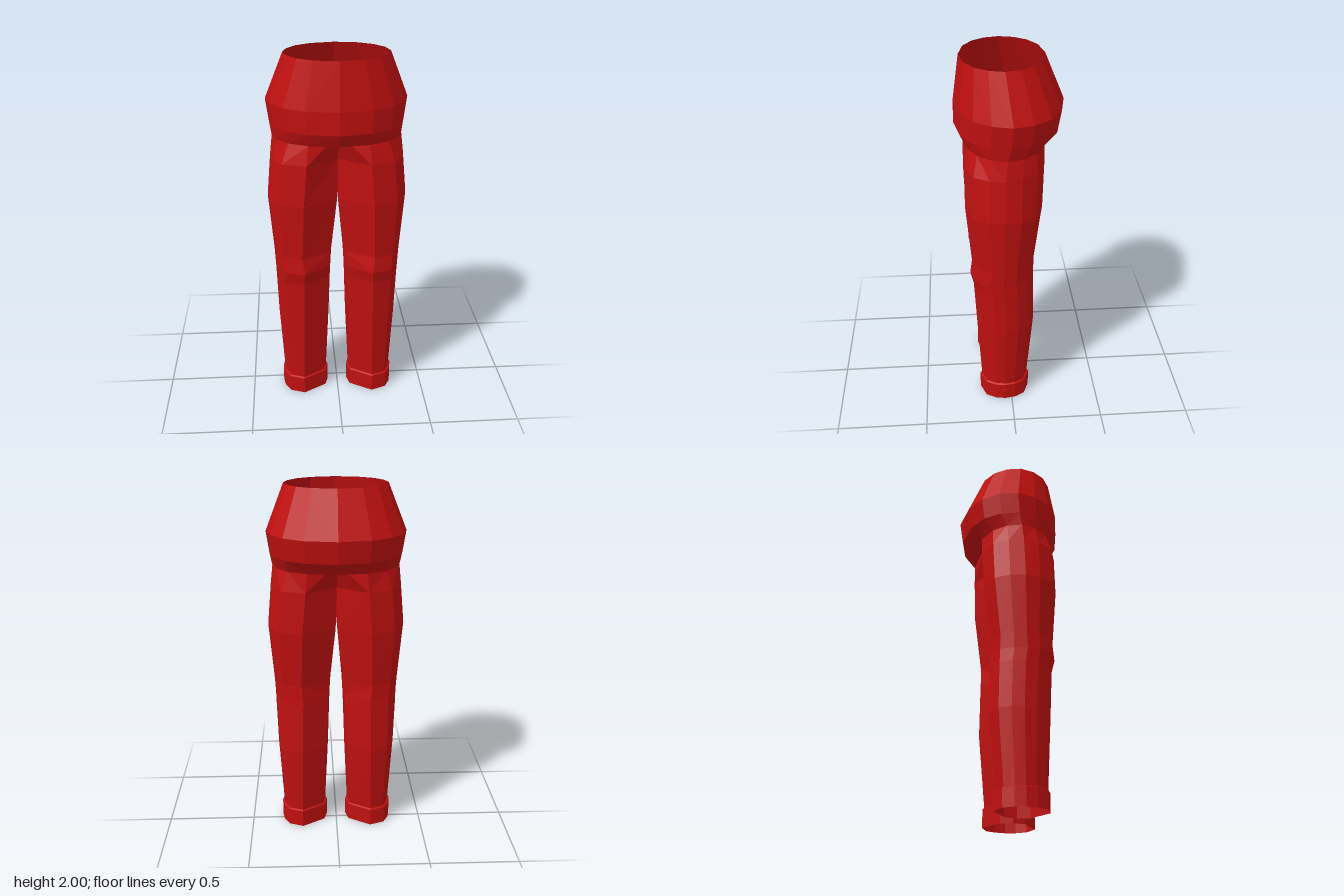
import * as THREE from 'three';

const red = new THREE.MeshStandardMaterial({ color: 0xc01010, flatShading: true, side: THREE.DoubleSide });
red.name = 'red cloth';

// Half an oval seen from above, from centre front round the side to centre back
const HALF = [[0, 1], [0.46, 0.89], [0.75, 0.67], [0.93, 0.36], [1, 0],
  [0.93, -0.36], [0.75, -0.67], [0.46, -0.89], [0, -1]];
// Outer side of a leg section, front to back
const OUTER = [[0, 1], [0.67, 0.78], [0.92, 0.4], [1, 0], [0.92, -0.4], [0.67, -0.78], [0, -1]];

function pelvisRing([y, w, front, back]) {
  const cz = (front + back) / 2, d = (front - back) / 2;
  return HALF.map(([u, v]) => [u * w, y, cz + v * d]);
}

// Ten points: seven on the outer side, three on the inseam
function legRing([y, inner, mid, outer, front, back], grow = 0) {
  const cz = (front + back) / 2, d = (front - back) / 2 + grow;
  const w = outer + grow - mid, n = inner - grow, soft = inner * 0.25;
  const ring = OUTER.map(([u, v]) => [mid + u * w, y, cz + v * d]);
  ring.push([n + soft, y, cz - 0.46 * d], [n, y, cz], [n + soft, y, cz + 0.46 * d]);
  return ring;
}

// Triangles between rings listed from top to bottom
function loft(rings, closed) {
  const tris = [];
  for (let r = 0; r < rings.length - 1; r++) {
    const a = rings[r], b = rings[r + 1], n = a.length;
    for (let i = 0; i < (closed ? n : n - 1); i++) {
      const j = (i + 1) % n;
      tris.push([a[i], b[i], b[j]], [a[i], b[j], a[j]]);
    }
  }
  return tris;
}

function addPart(parent, name, tris, side) {
  const pos = [];
  for (const t of tris) {
    for (const p of side > 0 ? t : [t[0], t[2], t[1]]) pos.push(p[0] * side, p[1], p[2]);
  }
  const geo = new THREE.BufferGeometry();
  geo.setAttribute('position', new THREE.Float32BufferAttribute(pos, 3));
  geo.computeVertexNormals();
  const mesh = new THREE.Mesh(geo, red);
  mesh.name = name;
  parent.add(mesh);
}

export function createModel() {
  const group = new THREE.Group();
  group.name = 'trousers';

  // height, half width, front z, back z
  const pelvis = [
    [2, 0.275, 0.25, -0.185],
    [1.755, 0.372, 0.285, -0.287],
    [1.635, 0.355, 0.285, -0.267],
    [1.565, 0.343, 0.248, -0.2],
  ].map(pelvisRing);

  // height, inseam x, crease x, outer x, front z, back z
  const legRows = [
    [1.46, 0, 0.167, 0.355, 0.24, -0.175],
    [1.23, 0.004, 0.186, 0.376, 0.24, -0.167],
    [0.91, 0.032, 0.197, 0.35, 0.212, -0.125],
    [0.82, 0.037, 0.187, 0.345, 0.223, -0.126],
    [0.75, 0.04, 0.19, 0.343, 0.205, -0.127],
    [0.5, 0.048, 0.195, 0.335, 0.192, -0.13],
    [0.105, 0.066, 0.2, 0.312, 0.17, -0.095],
  ];
  const leg = legRows.map(row => legRing(row));
  const hem = legRows[legRows.length - 1];
  const cuff = [
    legRing(hem),
    legRing([0.1, ...hem.slice(1)], 0.01),
    legRing([0, ...hem.slice(1)], 0.01),
  ];

  // Underside between the hip lip and the tops of the legs
  const lip = pelvis[pelvis.length - 1], top = leg[0];
  const front = [0, 1.62, 0.195], back = [0, 1.61, -0.14];
  const crotch = [
    [lip[0], front, lip[1]],
    [front, top[0], lip[1]],
    [front, top[9], top[0]],
    [lip[8], lip[7], back],
    [back, lip[7], top[6]],
    [back, top[6], top[7]],
  ];

  for (const side of [1, -1]) {
    const label = side > 0 ? 'left' : 'right';
    addPart(group, label + 'Hip', loft(pelvis, false), side);
    addPart(group, label + 'Crotch', crotch, side);
    addPart(group, label + 'Thigh', loft([lip.slice(1, 8), top.slice(0, 7)], false), side);
    addPart(group, label + 'Leg', loft(leg, true), side);
    addPart(group, label + 'Cuff', loft(cuff, true), side);
  }
  return group;
}
